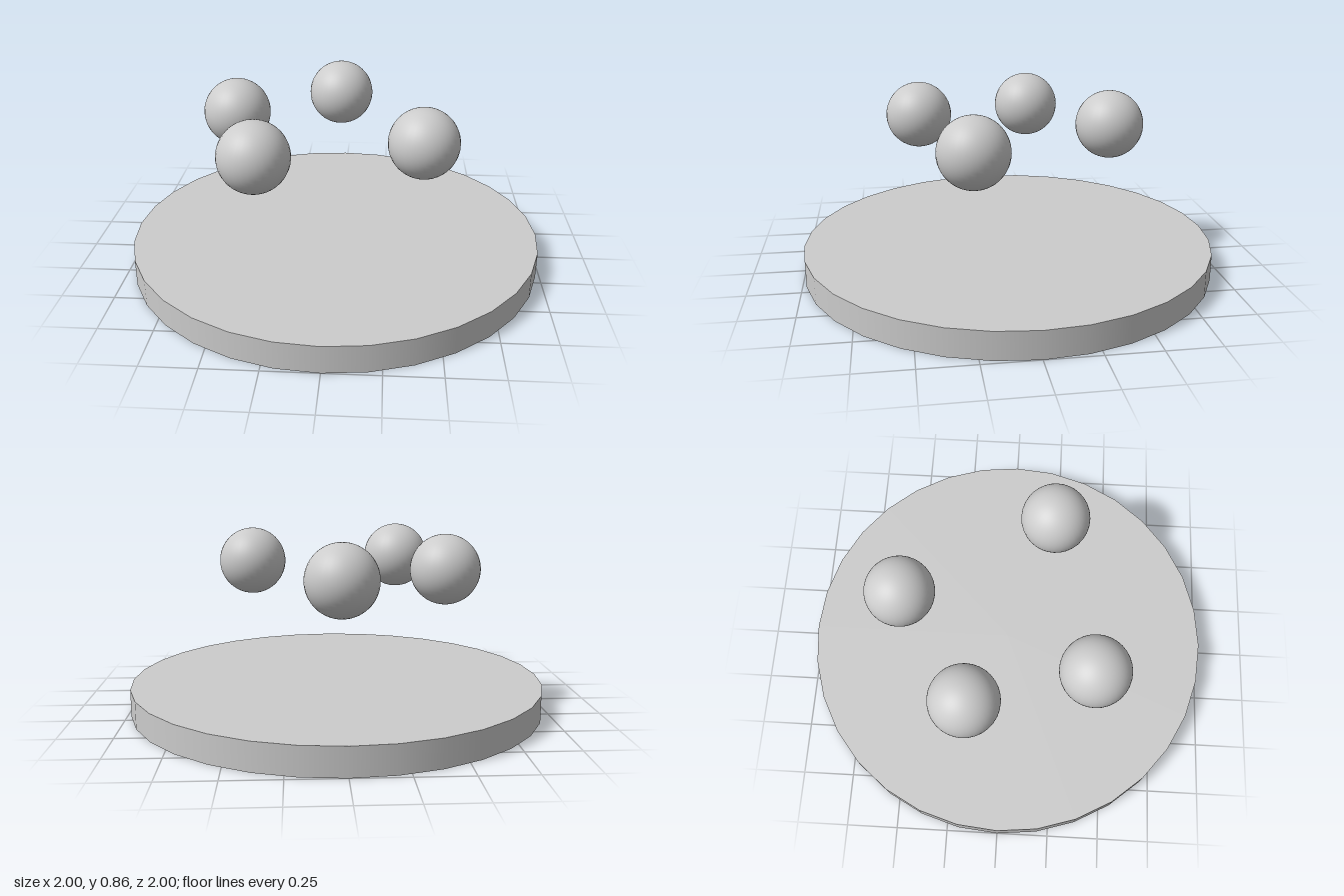
import * as THREE from 'three';

const DISC_HEIGHT = 0.13;
const BALL_RADIUS = 0.165;
const BALL_Y = 0.69;

// Ball centres as [x, z]
const BALLS = [
  [0, -0.503],
  [-0.502, -0.168],
  [0.415, 0.207],
  [-0.335, 0.413],
];

export function createModel() {
  const model = new THREE.Group();
  const grey = new THREE.MeshStandardMaterial({ color: 0xcccccc });

  // Flat round base, smooth around its rim
  const base = new THREE.Mesh(new THREE.CylinderGeometry(1, 1, DISC_HEIGHT, 32), grey);
  base.name = 'base';
  base.position.y = DISC_HEIGHT / 2;
  model.add(base);

  // Balls hovering level above the base
  const balls = new THREE.Group();
  balls.name = 'balls';
  const ballGeometry = new THREE.SphereGeometry(BALL_RADIUS, 32, 32);
  BALLS.forEach(([x, z], i) => {
    const ball = new THREE.Mesh(ballGeometry, grey);
    ball.name = `ball${i + 1}`;
    ball.position.set(x, BALL_Y, z);
    balls.add(ball);
  });
  model.add(balls);

  return model;
}
